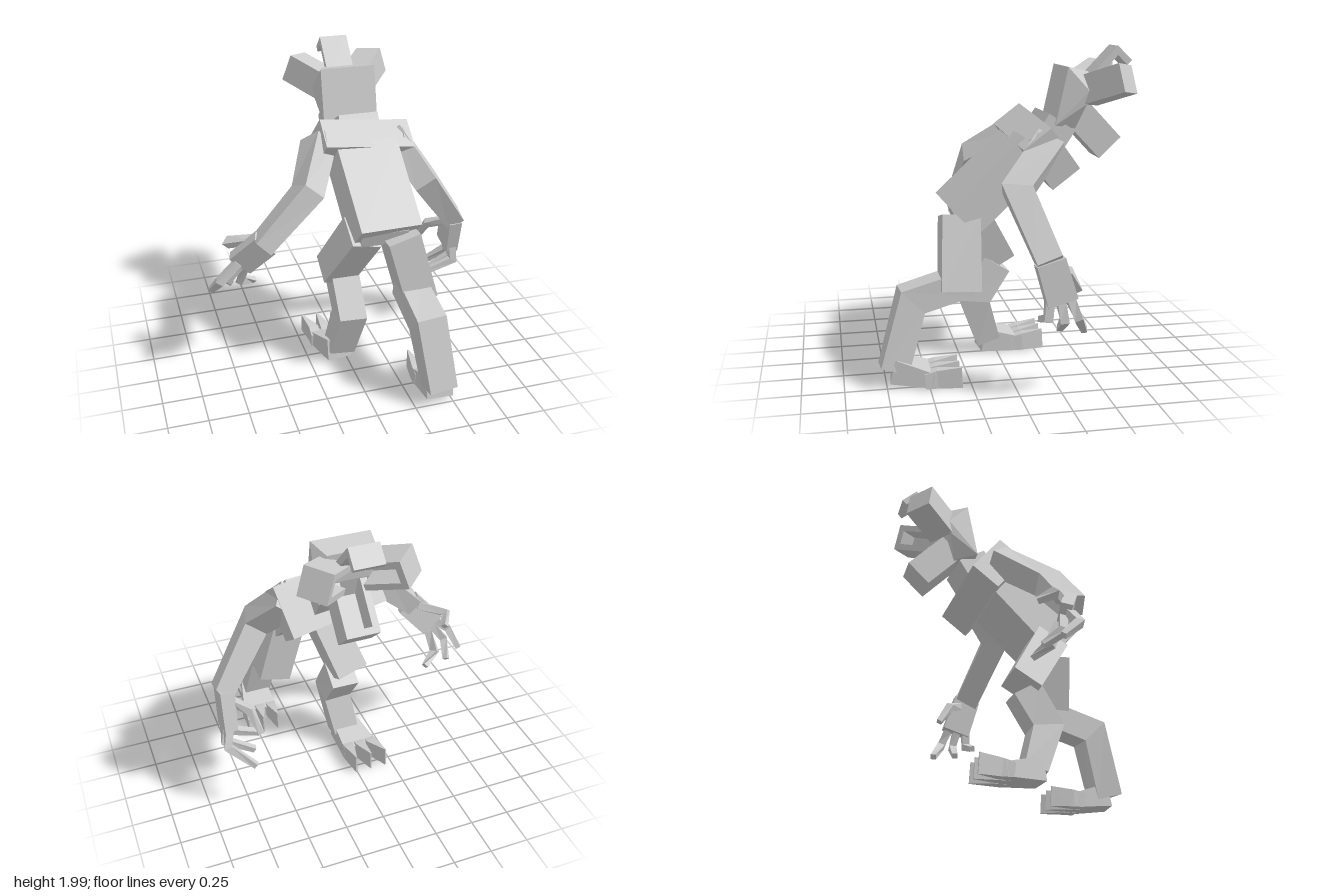
import * as THREE from 'three';
import { ConvexGeometry } from 'three/addons/geometries/ConvexGeometry.js';

const mat = new THREE.MeshStandardMaterial({ color: 0xcccccc, flatShading: true });
const V = (x, y, z) => new THREE.Vector3(x, y, z);
const X = V(1, 0, 0);

// Square-section bar along a path; sizes are [width, depth] at every point,
// the width lies along `side`, joints are mitred.
function bar(parent, name, path, sizes, side = X) {
  const pts = path.map(p => V(...p));
  const pos = [], idx = [], last = pts.length - 1;
  pts.forEach((p, i) => {
    const before = p.clone().sub(pts[Math.max(i - 1, 0)]).normalize();
    const after = pts[Math.min(i + 1, last)].clone().sub(p).normalize();
    const t = before.clone().add(after).normalize();
    const mitre = i > 0 && i < last ? 1 / Math.max(t.dot(after), 0.7) : 1;
    const s = side.clone().addScaledVector(t, -side.dot(t)).normalize();
    const n = s.clone().cross(t).multiplyScalar(mitre);
    const [w, d] = sizes[Math.min(i, sizes.length - 1)];
    for (const [a, b] of [[-1, -1], [-1, 1], [1, 1], [1, -1]]) {
      const c = p.clone().addScaledVector(s, a * w / 2).addScaledVector(n, b * d / 2);
      pos.push(c.x, c.y, c.z);
    }
    if (i < last) for (let k = 0; k < 4; k++) {
      const a = i * 4 + k, b = i * 4 + (k + 1) % 4;
      idx.push(a, b, b + 4, a, b + 4, a + 4);
    }
  });
  const e = last * 4;
  idx.push(0, 2, 1, 0, 3, 2, e, e + 1, e + 2, e, e + 2, e + 3);
  const indexed = new THREE.BufferGeometry();
  indexed.setAttribute('position', new THREE.Float32BufferAttribute(pos, 3));
  indexed.setIndex(idx);
  const g = indexed.toNonIndexed();
  g.computeVertexNormals();
  const m = new THREE.Mesh(g, mat);
  m.name = name;
  parent.add(m);
}

function group(parent, name) {
  const g = new THREE.Group();
  g.name = name;
  parent.add(g);
  return g;
}

// Petal from base to tip: outer plate and tip lip, with optional side walls,
// hollow towards the mouth
function buildPetal(parent, name, base, tip, side, width, depth, walled) {
  const petal = group(parent, name);
  const dir = tip.clone().sub(base), len = dir.length(), t = 0.04;
  dir.normalize();
  const out = dir.clone().cross(side).normalize();
  petal.applyMatrix4(new THREE.Matrix4().makeBasis(out.clone().cross(dir).negate(), dir, out));
  petal.quaternion.setFromRotationMatrix(new THREE.Matrix4().makeBasis(dir.clone().cross(out), dir, out));
  petal.position.copy(base);
  const plate = (part, w, h, d, x, y, z) => {
    const m = new THREE.Mesh(new THREE.BoxGeometry(w, h, d), mat);
    m.name = part;
    m.position.set(x, y, z);
    petal.add(m);
  };
  plate('outerPlate', width, len, t, 0, len / 2, (depth - t) / 2);
  plate('tipLip', width, t, depth, 0, len - t / 2, 0);
  if (walled) for (const s of [-1, 1]) plate('sideWall', t, len, depth, s * (width - t) / 2, len / 2, 0);
}

// Skull with a square back plate and four petals opening around the mouth
function buildHead(parent) {
  const head = group(parent, 'head');
  const cx = 0.147, hull = [];
  for (const s of [-1, 1]) {
    hull.push(V(cx + s * 0.178, 1.88, -0.375), V(cx + s * 0.178, 1.535, -0.3));
    hull.push(V(cx + s * 0.13, 1.85, -0.51), V(cx + s * 0.2, 1.74, -0.5));
    hull.push(V(cx + s * 0.19, 1.66, -0.49), V(cx + s * 0.11, 1.505, -0.44));
    buildPetal(head, 'sidePetal', V(cx + s * 0.1, 1.73, -0.52), V(cx + s * 0.27, 1.815, -0.715),
      V(-0.1, 0.99 * s, -0.08 * s), 0.175, 0.175, true);
  }
  const skull = new THREE.Mesh(new ConvexGeometry(hull), mat);
  skull.name = 'skull';
  head.add(skull);
  buildPetal(head, 'topPetal', V(cx, 1.745, -0.551), V(cx, 1.955, -0.752), V(-1, 0, 0), 0.18, 0.125, false);
  buildPetal(head, 'lowerPetal', V(cx, 1.61, -0.45), V(cx, 1.38, -0.667), X, 0.2, 0.185, true);
}

function buildTorso(parent) {
  const torso = group(parent, 'torso');
  bar(torso, 'trunk', [[0.195, 0.99, 0.285], [0.17, 1.4, -0.155]], [[0.4, 0.25], [0.41, 0.25]], V(1, -0.08, -0.03));
  bar(torso, 'shoulderBlock', [[0.175, 1.335, -0.13], [0.175, 1.46, -0.295]], [[0.61, 0.32]], V(1, -0.13, -0.12));
  bar(torso, 'neck', [[0.175, 1.38, -0.22], [0.17, 1.555, -0.335]], [[0.27, 0.2]], V(1, -0.06, -0.08));
  bar(torso, 'pelvis', [[0.18, 0.97, 0.22], [0.18, 1.06, 0.25]], [[0.3, 0.16]]);
  // Small thorns on the back of the shoulders
  for (const [x, y, z] of [[-0.085, 1.54, -0.07], [0.45, 1.48, -0.14]]) {
    const thorn = new THREE.Mesh(new THREE.ConeGeometry(0.025, 0.08, 4), mat);
    thorn.name = 'thorn';
    thorn.position.set(x, y, z);
    thorn.quaternion.setFromUnitVectors(V(0, 1, 0), V(-0.1, -0.3, 0.8).normalize());
    torso.add(thorn);
  }
}

function buildArm(parent, name, arm, palm, fingers, side, palmSide, palmSize) {
  const g = group(parent, name);
  bar(g, 'arm', arm, [[0.16, 0.17], [0.15, 0.16], [0.12, 0.15]], side);
  bar(g, 'palm', palm, palmSize, palmSide);
  for (const f of fingers) bar(g, 'finger', f, [[0.05, 0.05], [0.05, 0.045], [0.035, 0.035]], palmSide);
}

// Foot with three toes, each ending in a tall blade-like claw
function buildFoot(parent, heel, ball, splay) {
  const g = group(parent, 'foot');
  bar(g, 'sole', [heel, ball], [[0.17, 0.15], [0.23, 0.09]]);
  const [x, y, z] = ball;
  for (const i of [-1, 0, 1]) {
    const x0 = x + i * 0.08, x1 = x + i * 0.105 + splay;
    bar(g, 'toe', [[x0, y, z + 0.06], [x0, y + 0.01, z - 0.02], [x1, 0.078, z - 0.16]],
      [[0.07, 0.09], [0.065, 0.11], [0.008, 0.13]]);
  }
}

export function createModel() {
  const model = new THREE.Group();
  model.name = 'creature';
  buildHead(model);
  buildTorso(model);

  buildArm(model, 'rightArm',
    [[-0.1, 1.47, -0.19], [-0.25, 1.27, 0.1], [-0.56, 0.97, 0.145]],
    [[-0.53, 0.98, 0.13], [-0.68, 0.82, 0.05]],
    [
      [[-0.7, 0.84, 0.08], [-0.82, 0.73, 0.09], [-0.86, 0.62, -0.02]],
      [[-0.67, 0.82, 0.05], [-0.76, 0.7, 0.02], [-0.73, 0.61, -0.09]],
      [[-0.64, 0.79, 0.03], [-0.67, 0.65, -0.03], [-0.57, 0.6, -0.1]],
      [[-0.58, 0.98, 0.07], [-0.74, 0.94, -0.02], [-0.69, 0.9, -0.11]],
    ],
    V(0.6, -0.7, 0.1), V(0.7, -0.7, 0), [[0.17, 0.08], [0.17, 0.07]]);

  buildArm(model, 'leftArm',
    [[0.41, 1.45, -0.25], [0.56, 1.2, -0.02], [0.83, 0.83, -0.15]],
    [[0.82, 0.84, -0.15], [0.83, 0.6, -0.22]],
    [
      [[0.83, 0.62, -0.15], [0.84, 0.51, -0.14], [0.62, 0.43, -0.15]],
      [[0.84, 0.61, -0.21], [0.86, 0.5, -0.23], [0.68, 0.39, -0.25]],
      [[0.84, 0.61, -0.27], [0.86, 0.51, -0.31], [0.71, 0.38, -0.39]],
      [[0.81, 0.79, -0.2], [0.7, 0.74, -0.29], [0.66, 0.61, -0.37]],
    ],
    V(0.8, 0.5, 0.2), V(0, 0.2, 1), [[0.17, 0.09], [0.18, 0.08]]);

  // Trailing leg
  const left = group(model, 'leftLeg');
  bar(left, 'thigh', [[0.28, 1.0, 0.28], [0.4, 0.56, 0.3]], [[0.21, 0.23], [0.21, 0.24]]);
  bar(left, 'shin', [[0.36, 0.62, 0.24], [0.37, 0.52, 0.59], [0.42, 0.11, 0.705]],
    [[0.18, 0.17], [0.19, 0.17], [0.18, 0.17]]);
  buildFoot(left, [0.42, 0.115, 0.71], [0.44, 0.06, 0.47], 0.02);

  // Leading leg
  const right = group(model, 'rightLeg');
  bar(right, 'thigh', [[0.07, 1.0, 0.2], [-0.05, 0.64, -0.01]], [[0.2, 0.22], [0.21, 0.2]]);
  bar(right, 'shin', [[-0.01, 0.62, 0.01], [0.0, 0.39, 0.155], [-0.04, 0.1, 0.06]],
    [[0.18, 0.19], [0.18, 0.18], [0.17, 0.15]]);
  buildFoot(right, [-0.05, 0.1, 0.1], [-0.08, 0.06, -0.15], -0.02);
  return model;
}
